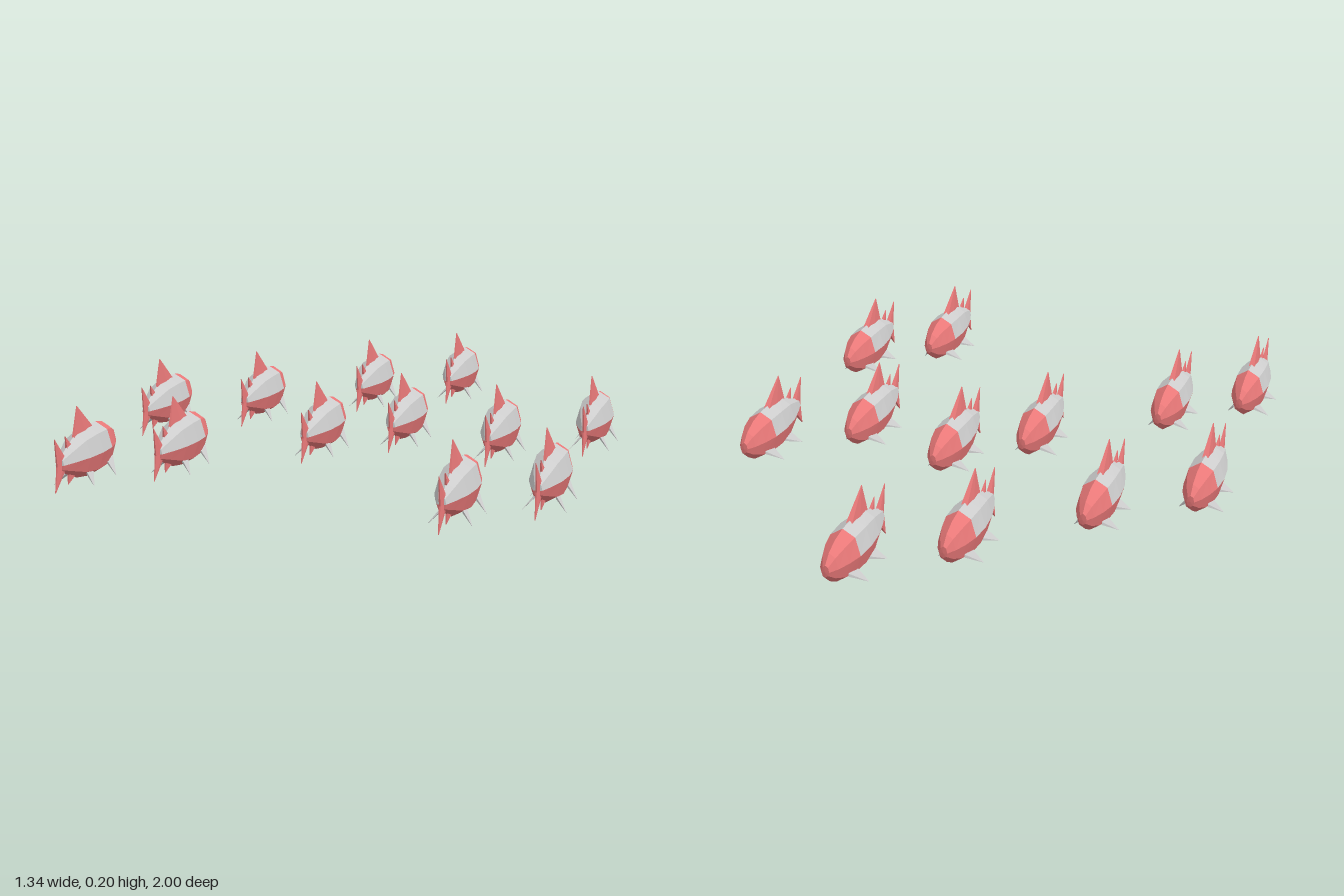
import * as THREE from 'three';
import { ConvexGeometry } from 'three/addons/geometries/ConvexGeometry.js';

const grey = new THREE.MeshStandardMaterial({ color: 0xcccccc, flatShading: true });
const red = new THREE.MeshStandardMaterial({ color: 0xe87878, flatShading: true });

// Body stations from nose to tail: [z, top y, bottom y, half width]
const MID = 0.073;
const STATIONS = [
  [0, MID, MID, 0], [0.001, 0.09, 0.06, 0.01], [0.025, 0.112, 0.04, 0.023], [0.065, 0.129, 0.021, 0.036],
  [0.113, 0.138, 0.012, 0.045], [0.18, 0.14, 0.01, 0.047], [0.25, 0.133, 0.02, 0.04],
  [0.31, 0.112, 0.04, 0.026], [0.36, 0.091, 0.057, 0.011], [0.362, MID, MID, 0],
];
const HEAD_ROW = 4;
const SIDES = 8;

function bodyPoint(row, side) {
  const [z, top, bottom, w] = STATIONS[row];
  const a = (side / SIDES) * Math.PI * 2;
  const s = Math.sin(a);
  return [w * Math.cos(a), MID + s * (s > 0 ? top - MID : MID - bottom), z];
}

// Skin over a range of stations and a range of the eight sides
function skin(row0, row1, side0, side1) {
  const pos = [];
  for (let r = row0; r < row1; r++) {
    for (let i = side0; i < side1; i++) {
      const a = bodyPoint(r, i), b = bodyPoint(r, i + 1);
      const c = bodyPoint(r + 1, i), d = bodyPoint(r + 1, i + 1);
      pos.push(...a, ...b, ...c, ...b, ...d, ...c);
    }
  }
  const g = new THREE.BufferGeometry();
  g.setAttribute('position', new THREE.Float32BufferAttribute(pos, 3));
  g.computeVertexNormals();
  return g;
}

// Upright wedge fin; each point is [z, y, half thickness]
function wedge(points) {
  const v = [];
  for (const [z, y, t] of points) {
    v.push(new THREE.Vector3(t, y, z), new THREE.Vector3(-t, y, z));
  }
  return new ConvexGeometry(v);
}

// Paired side fin: a thin slab pinched to a point at its tip
function sideFin(side, front, back, tip) {
  const v = [];
  for (const [x, y, z] of [front, back]) {
    v.push(new THREE.Vector3(side * x, y + 0.004, z), new THREE.Vector3(side * x, y - 0.004, z));
  }
  v.push(new THREE.Vector3(side * tip[0], tip[1], tip[2]));
  return new ConvexGeometry(v);
}

function createFish() {
  const fish = new THREE.Group();
  const add = (name, geometry, material) => {
    const m = new THREE.Mesh(geometry, material);
    m.name = name;
    fish.add(m);
  };
  const last = STATIONS.length - 1;

  // Body: red head and belly, grey back
  add('head', skin(0, HEAD_ROW, 0, SIDES), red);
  add('belly', skin(HEAD_ROW, last, SIDES / 2, SIDES), red);
  add('back', skin(HEAD_ROW, last, 0, SIDES / 2), grey);

  // Fins along the middle
  add('dorsalFin', wedge([[0.155, 0.135, 0.008], [0.2, 0.12, 0.01], [0.27, 0.122, 0.003], [0.24, 0.2, 0.001]]), red);
  add('rearDorsalFin', wedge([[0.292, 0.112, 0.005], [0.315, 0.104, 0.003], [0.322, 0.138, 0.001]]), red);
  add('analFin', wedge([[0.265, 0.032, 0.005], [0.305, 0.045, 0.003], [0.308, 0.015, 0.001]]), red);

  // Forked tail made of two lobes
  add('upperTailLobe', wedge([[0.335, 0.085, 0.007], [0.345, 0.07, 0.008], [0.38, 0.073, 0.002], [0.393, 0.145, 0.001]]), red);
  add('lowerTailLobe', wedge([[0.335, 0.062, 0.007], [0.345, 0.076, 0.008], [0.38, 0.073, 0.002], [0.393, 0.01, 0.001]]), red);

  // Paired fins
  for (const [side, label] of [[1, 'left'], [-1, 'right']]) {
    add(label + 'PectoralFin', sideFin(side, [0.03, 0.04, 0.07], [0.032, 0.036, 0.12], [0.06, 0.002, 0.128]), grey);
    add(label + 'PelvicFin', sideFin(side, [0.026, 0.03, 0.2], [0.026, 0.034, 0.25], [0.054, 0.002, 0.268]), grey);
  }
  return fish;
}

// Nose positions of the shoal: [x, z]
const SHOAL = [
  [0.1, -1], [-0.125, -0.81], [-0.385, -0.515], [-0.61, -0.32],
  [0.1, -0.257], [0.383, -0.14], [0.607, -0.33], [-0.087, 0.07 - 0.14],
  [-0.385, 0.23], [-0.573, 0.418], [0.607, 0.413], [0.42, 0.607],
];

export function createModel() {
  const group = new THREE.Group();
  group.name = 'shoal';
  const fish = createFish();
  SHOAL.forEach(([x, z], i) => {
    const f = fish.clone();
    f.name = 'fish' + (i + 1);
    f.position.set(x, 0, z);
    group.add(f);
  });
  return group;
}
